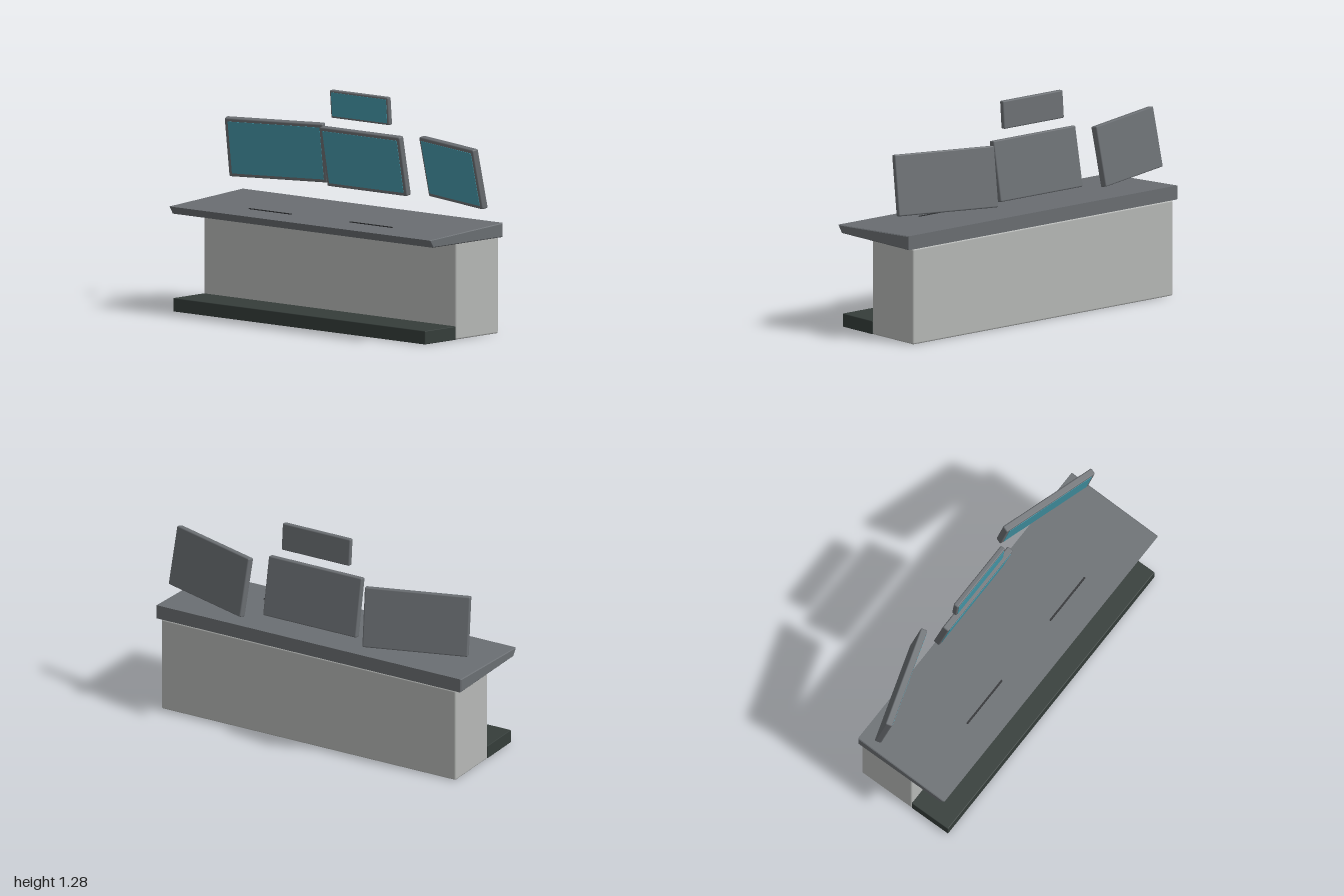
import * as THREE from 'three';
import { RoundedBoxGeometry } from 'three/addons/geometries/RoundedBoxGeometry.js';

function material(name, color) {
  const m = new THREE.MeshStandardMaterial({ color });
  m.name = name;
  return m;
}

export function createModel() {
  const cabinetGrey = material('light grey', 0xb6b8b6);
  const slateGrey = material('slate grey', 0x6a6e72);
  const darkGreen = material('dark green grey', 0x353d3a);
  const teal = material('screen teal', 0x4597a8);
  const slotDark = material('slot dark', 0x2c2e30);

  const model = new THREE.Group();
  model.name = 'controlDesk';

  function add(parent, name, geometry, mat, x = 0, y = 0, z = 0) {
    const mesh = new THREE.Mesh(geometry, mat);
    mesh.name = name;
    mesh.position.set(x, y, z);
    parent.add(mesh);
    return mesh;
  }

  // Cabinet and the low step in front of it
  add(model, 'cabinet', new RoundedBoxGeometry(1.93, 0.552, 0.354, 2, 0.01), cabinetGrey, 0, 0.278, -0.088);
  add(model, 'footStep', new RoundedBoxGeometry(1.93, 0.077, 0.257, 2, 0.004), darkGreen, 0, 0.0405, 0.2165);

  // Wedge-shaped desk top, extruded along x with a fine bevel
  const bevel = 0.005;
  const profile = new THREE.Shape([
    [-0.266, 0.553], [0.315, 0.553], [0.344, 0.597], [-0.266, 0.634],
  ].map(([z, y]) => new THREE.Vector2(z, y)));
  const topGeometry = new THREE.ExtrudeGeometry(profile, {
    depth: 2 - 2 * bevel, bevelEnabled: true, bevelThickness: bevel,
    bevelSize: bevel, bevelOffset: -bevel, bevelSegments: 1,
  });
  topGeometry.translate(0, 0, -(1 - bevel));
  topGeometry.rotateY(-Math.PI / 2);
  add(model, 'deskTop', topGeometry, slateGrey);

  // Two thin slots lying on the sloped top
  for (const side of [-1, 1]) {
    const slot = add(model, side > 0 ? 'leftSlot' : 'rightSlot',
      new THREE.BoxGeometry(0.325, 0.006, 0.011), slotDark, side * 0.387, 0.6085, 0.166);
    slot.rotation.x = 0.061;
  }

  // Monitor: rounded casing with a thin screen plate, leaning forward
  function monitor(name, w, h, depth, border, [x, y, z], tilt, yaw = 0) {
    const group = new THREE.Group();
    group.name = name;
    add(group, 'casing', new RoundedBoxGeometry(w, h, depth, 2, 0.008), slateGrey);
    add(group, 'screen', new THREE.BoxGeometry(w - 2 * border, h - 2 * border, 0.004), teal, 0, 0, depth / 2);
    group.position.set(x, y, z);
    group.rotation.set(tilt, yaw, 0, 'YXZ');
    model.add(group);
  }
  monitor('centreMonitor', 0.61, 0.348, 0.04, 0.02, [0, 0.895, -0.205], 0.19);
  monitor('leftMonitor', 0.61, 0.348, 0.04, 0.02, [0.675, 0.895, -0.205], 0.19, -0.31);
  monitor('rightMonitor', 0.61, 0.348, 0.04, 0.02, [-0.675, 0.895, -0.205], 0.19, 0.31);
  monitor('upperDisplay', 0.445, 0.16, 0.031, 0.012, [0, 1.204, -0.169], 0.08);

  return model;
}
